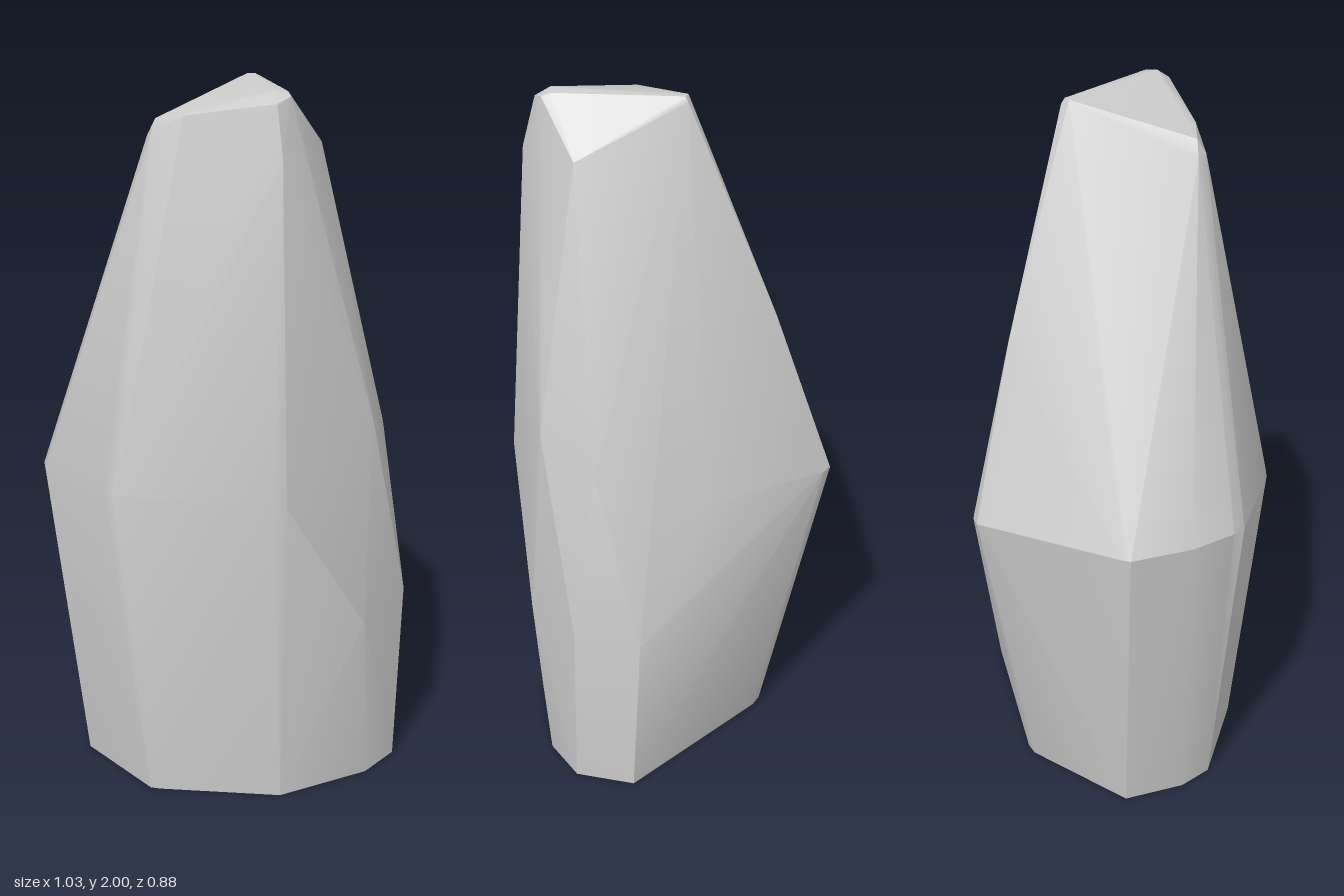
import * as THREE from 'three';
import { ConvexGeometry } from 'three/addons/geometries/ConvexGeometry.js';
import { toCreasedNormals } from 'three/addons/utils/BufferGeometryUtils.js';

// Rings of the stone as [x, y, z]; close pairs make the worn, bevelled corners.
const foot = [
  [-0.12, 0, 0.38], [-0.09, 0, 0.378], [0.25, 0, 0.31], [0.45, 0, 0.1], [0.5, 0, -0.04],
  [0.43, 0, -0.2], [-0.08, 0, -0.27], [-0.12, 0, -0.265], [-0.42, 0, -0.08],
  [-0.42, 0, 0.1], [-0.38, 0, 0.2],
];
const belly = [
  [-0.19, 0.89, -0.44], [-0.155, 0.89, -0.44], [0.2, 0.9, -0.29],
  [-0.505, 0.89, -0.13], [-0.52, 0.89, -0.11], [-0.52, 0.89, 0.07],
  [-0.5, 0.9, 0.2], [-0.48, 0.9, 0.24],
  [-0.235, 0.9, 0.42], [-0.19, 0.91, 0.435],
  [0.245, 0.91, 0.375], [0.275, 0.9, 0.36],
];
const leftFlank = [
  [0.45, 0.5, 0.155], [0.515, 0.53, -0.06], [0.43, 0.52, -0.23],
  [0.445, 1.1, 0.1], [0.435, 1.03, -0.08],
];
const crown = [
  [-0.09, 1.38, -0.305], [0.285, 1.85, 0.09], [0.24, 1.83, 0.305],
  [0.025, 2, -0.085], [0.045, 2, -0.09], [0.045, 1.985, -0.1],
  [0.2, 2, 0.235], [0.225, 1.995, 0.21], [0.24, 1.985, 0.235], [0.215, 1.97, 0.278],
  [-0.05, 1.925, 0.248], [-0.14, 1.91, 0.215], [-0.165, 1.865, 0.21], [-0.145, 1.87, 0.24],
];

export function createModel() {
  const points = [...foot, ...belly, ...leftFlank, ...crown].map((p) => new THREE.Vector3(...p));
  // Soft shading over shallow facets, sharp on the main edges
  const geometry = toCreasedNormals(new ConvexGeometry(points), 0.42);
  const rock = new THREE.Mesh(geometry, new THREE.MeshStandardMaterial({ color: 0xcccccc }));
  rock.name = 'standingRock';

  const model = new THREE.Group();
  model.name = 'rock';
  model.add(rock);
  return model;
}
